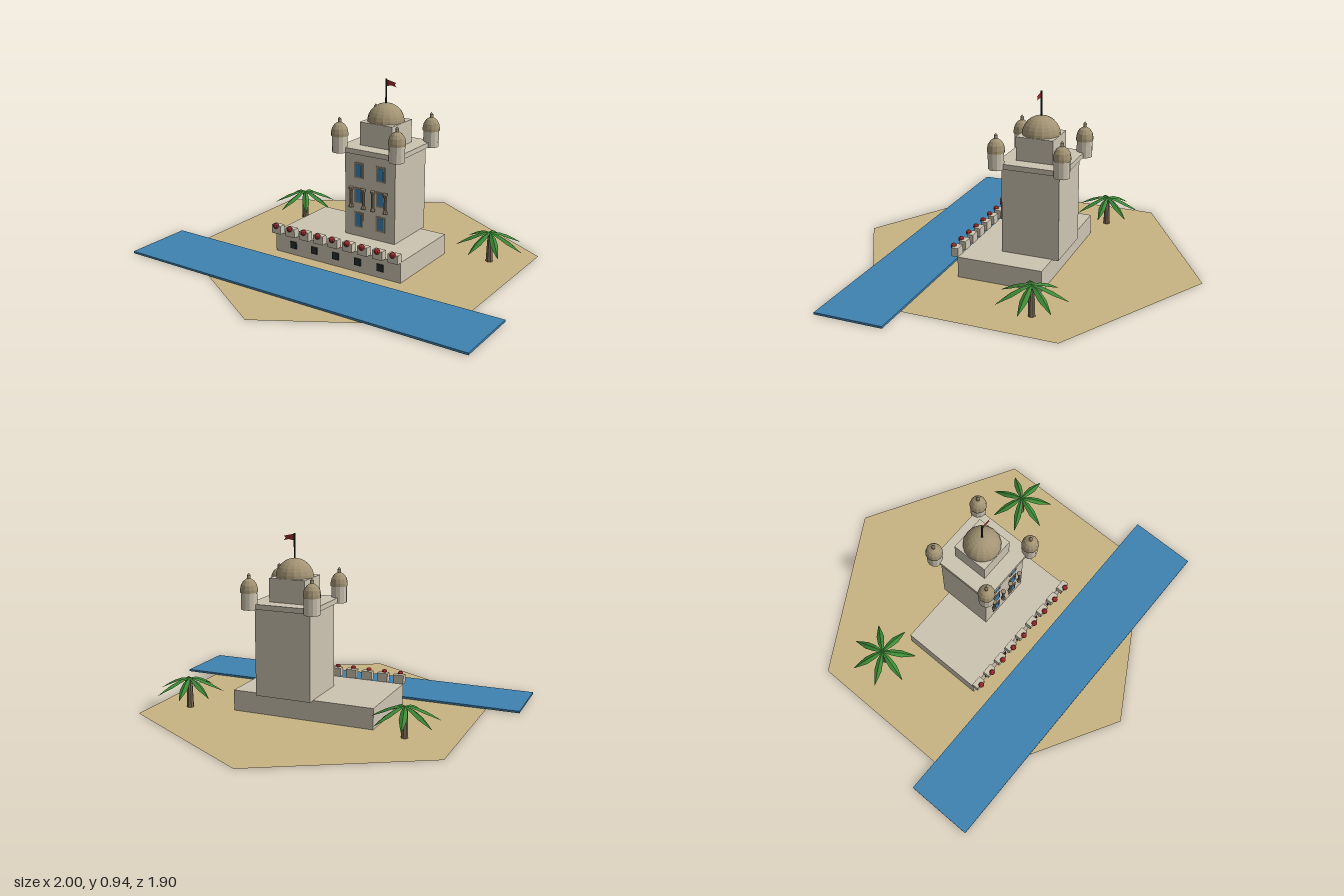
import * as THREE from 'three';

const mat = (name, color, extra = {}) => {
  const m = new THREE.MeshStandardMaterial({ color, ...extra });
  m.name = name;
  return m;
};

export function createModel() {
  const model = new THREE.Group();
  model.name = 'riversideFort';
  const D = { side: THREE.DoubleSide };
  const F = { flatShading: true };
  const sand = mat('sand', 0xc9b483, D);
  const water = mat('water', 0x3f82b0);
  const stone = mat('stone', 0xcdc4b2, F);
  const domeTan = mat('domeTan', 0xa39474, F);
  const trim = mat('trim', 0x9c8e76, F);
  const dark = mat('dark', 0x26302f, F);
  const red = mat('red', 0x9c2a2c, { ...F, ...D });
  const leaf = mat('leaf', 0x3d8a36, { ...F, ...D });
  const bark = mat('bark', 0x7d6b55, F);

  const add = (name, geo, material, x = 0, y = 0, z = 0, parent = model) => {
    const mesh = new THREE.Mesh(geo, material);
    mesh.name = name;
    mesh.position.set(x, y, z);
    parent.add(mesh);
    return mesh;
  };
  // box given by its ranges on each axis
  const box = (name, m, x0, x1, y0, y1, z0, z1) =>
    add(name, new THREE.BoxGeometry(x1 - x0, y1 - y0, z1 - z0), m,
      (x0 + x1) / 2, (y0 + y1) / 2, (z0 + z1) / 2);
  const lathe = (pts, n) => new THREE.LatheGeometry(pts.map(p => new THREE.Vector2(...p)), n);

  // Ground and river
  add('ground', new THREE.CircleGeometry(0.95, 6, Math.PI / 6).rotateX(-Math.PI / 2), sand);
  box('river', water, -1, 1, 0.002, 0.013, 0.317, 0.683);

  // Bastion with overhanging battlements
  box('bastion', stone, -0.39, 0.39, 0.002, 0.113, -0.231, 0.225);
  for (let i = -4; i <= 4; i++) {
    const x = i * 0.0907;
    box('merlon', stone, x - 0.029, x + 0.029, 0.113, 0.16, 0.222, 0.257);
    add('redBall', new THREE.SphereGeometry(0.016, 8, 6), red, x, 0.158, 0.259);
  }
  for (let i = -2; i <= 2; i++) {
    const x = i * 0.136;
    box('gunPort', dark, x - 0.019, x + 0.019, 0.039, 0.077, 0.224, 0.232);
  }

  // Tower, roof slab and upper chamber
  const cx = 0.089, cz = -0.111;
  const block = (name, h, y0, y1) =>
    box(name, stone, cx - h, cx + h, y0, y1, cz - h, cz + h);
  block('tower', 0.153, 0.11, 0.572);
  block('roofSlab', 0.179, 0.57, 0.597);
  block('upperChamber', 0.098, 0.595, 0.72);
  add('mainDome', new THREE.SphereGeometry(0.098, 16, 8, 0, Math.PI * 2, 0, Math.PI / 2),
    domeTan, cx, 0.716, cz);

  // Tower windows
  const front = cz + 0.153;
  for (const sx of [-1, 1]) {
    const x = cx + sx * 0.067;
    for (const y of [0.205, 0.34, 0.477]) {
      box('windowFrame', trim, x - 0.027, x + 0.027, y - 0.042, y + 0.042, front - 0.002, front + 0.004);
      box('windowPane', water, x - 0.018, x + 0.018, y - 0.033, y + 0.033, front, front + 0.006);
    }
    // Column pair beside the middle window
    for (const s of [-1, 1]) {
      add('column', lathe([[0, 0], [0.013, 0], [0.013, 0.008], [0.007, 0.02], [0.007, 0.09],
        [0.013, 0.102], [0.013, 0.11], [0, 0.11]], 8), trim, x + s * 0.038, 0.276, 0.06);
    }
  }

  // Corner turrets
  for (const sx of [-1, 1]) for (const sz of [-1, 1]) {
    const turret = new THREE.Group();
    turret.name = 'turret';
    turret.position.set(cx + sx * 0.173, 0, cz + sz * 0.173);
    model.add(turret);
    add('turretDrum', new THREE.CylinderGeometry(0.041, 0.041, 0.094, 12), stone, 0, 0.615, 0, turret);
    add('turretDome', lathe([[0, 0.655], [0.045, 0.655], [0.045, 0.67], [0.04, 0.694], [0.028, 0.713],
      [0.009, 0.726], [0.009, 0.742], [0, 0.753]], 12), domeTan, 0, 0, 0, turret);
  }

  // Flagpole and swallowtail flag
  add('flagpole', new THREE.CylinderGeometry(0.005, 0.005, 0.14, 8), dark, cx, 0.87, cz);
  const flag = new THREE.Shape([[0, 0], [0.056, -0.012], [0.046, -0.021], [0.056, -0.034], [0.03, -0.028],
    [0, -0.033]].map(p => new THREE.Vector2(...p)));
  add('flag', new THREE.ShapeGeometry(flag), red, cx + 0.004, 0.937, cz);

  // Folded frond: ridge and two drooping edges per section [reach, height, half width]
  const sections = [[0, 0.163, 0.004], [0.05, 0.157, 0.017], [0.1, 0.136, 0.02],
    [0.14, 0.112, 0.011], [0.176, 0.088, 0.001]];
  const pos = [], idx = [];
  sections.forEach(([r, y, w], i) => {
    pos.push(r, y - w * 0.6, -w, r, y, 0, r, y - w * 0.6, w);
    if (i) for (const k of [0, 1]) {
      const a = (i - 1) * 3 + k, b = a + 3;
      idx.push(a, a + 1, b, a + 1, b + 1, b);
    }
  });
  const frondGeo = new THREE.BufferGeometry();
  frondGeo.setAttribute('position', new THREE.Float32BufferAttribute(pos, 3));
  frondGeo.setIndex(idx);
  frondGeo.computeVertexNormals();

  // Palms
  for (const x of [-0.567, 0.633]) {
    const palm = new THREE.Group();
    palm.name = 'palm';
    palm.position.set(x, 0, -0.273);
    model.add(palm);
    add('palmTrunk', new THREE.CylinderGeometry(0.014, 0.019, 0.156, 8), bark, 0, 0.08, 0, palm);
    for (let i = 0; i < 7; i++) {
      add('frond', frondGeo, leaf, 0, 0, 0, palm).rotation.y = i * Math.PI * 2 / 7;
    }
  }
  return model;
}
